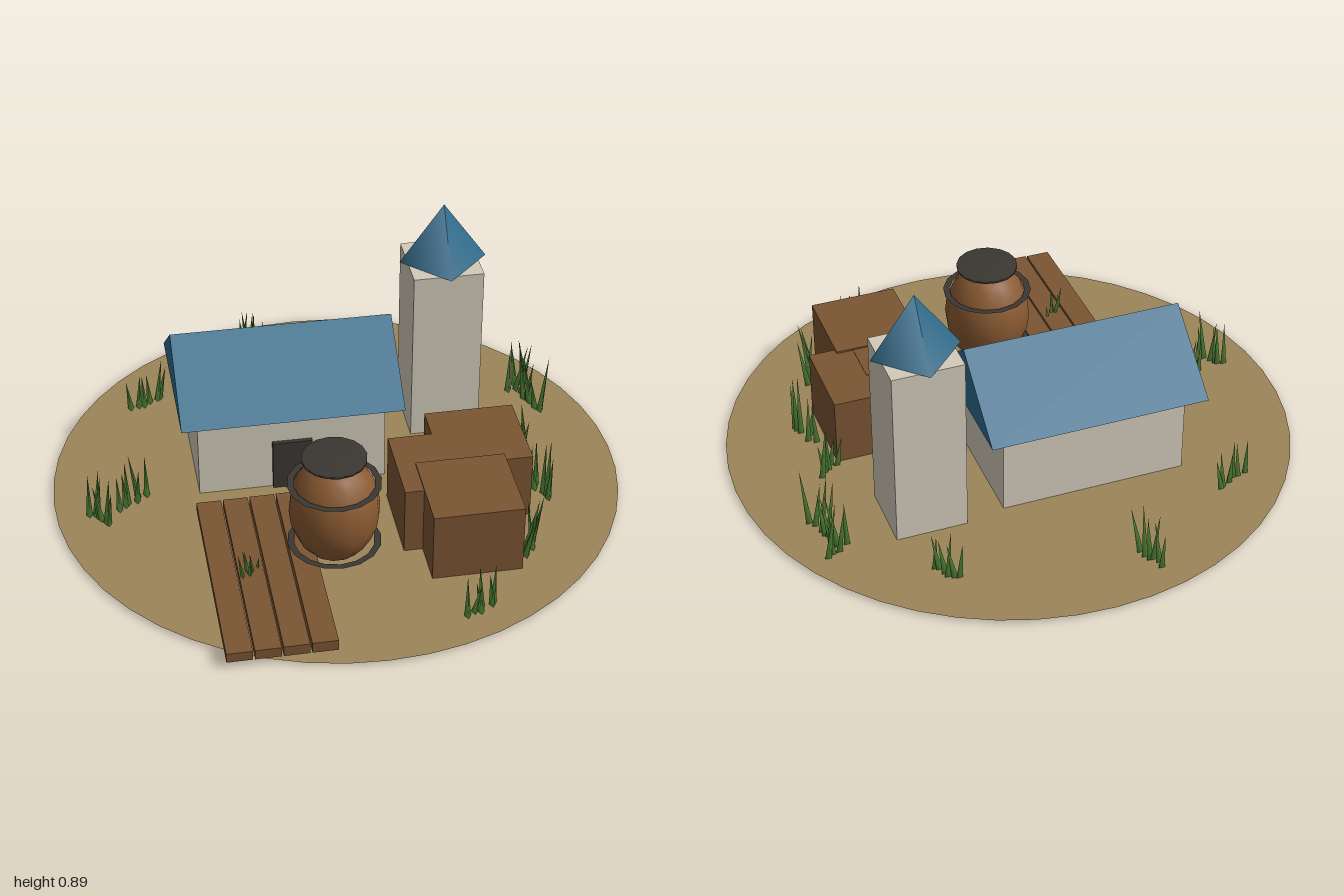
import * as THREE from 'three';

const mat = (name, color, extra = {}) => {
  const m = new THREE.MeshStandardMaterial({ color, ...extra });
  m.name = name;
  return m;
};

export function createModel() {
  const model = new THREE.Group();
  model.name = 'farmyard';

  const earth = mat('earth', 0x9b8558, { side: THREE.DoubleSide });
  const plaster = mat('plaster', 0xd2cbba);
  const slate = mat('blueRoof', 0x2f6c8c);
  const wood = mat('wood', 0x7a5533);
  const clay = mat('clay', 0x8a5a32);
  const iron = mat('darkIron', 0x3b3732, { side: THREE.DoubleSide });
  const green = mat('grassGreen', 0x4a7a32);

  const add = (name, geometry, material, x = 0, y = 0, z = 0, parent = model) => {
    const mesh = new THREE.Mesh(geometry, material);
    mesh.name = name;
    mesh.position.set(x, y, z);
    parent.add(mesh);
    return mesh;
  };
  // Box given by its minimum and maximum corners
  const box = (name, material, [x0, y0, z0], [x1, y1, z1], parent) =>
    add(name, new THREE.BoxGeometry(x1 - x0, y1 - y0, z1 - z0), material,
      (x0 + x1) / 2, (y0 + y1) / 2, (z0 + z1) / 2, parent);
  const group = (name) => {
    const g = new THREE.Group();
    g.name = name;
    model.add(g);
    return g;
  };

  // Flat round ground
  add('ground', new THREE.CircleGeometry(1, 48).rotateX(-Math.PI / 2), earth, 0, 0.008, 0);

  // House with gabled roof and door
  const house = group('house');
  box('houseWalls', plaster, [-0.49, 0, -0.41], [0.17, 0.32, 0.03], house);
  box('houseDoor', iron, [-0.23, 0.01, 0.02], [-0.09, 0.2, 0.045], house);
  const gable = new THREE.Shape([
    new THREE.Vector2(-0.28, 0), new THREE.Vector2(0.28, 0), new THREE.Vector2(0, 0.22),
  ]);
  const roof = new THREE.ExtrudeGeometry(gable, { depth: 0.78, bevelEnabled: false })
    .translate(0, 0, -0.39).rotateY(Math.PI / 2);
  add('houseRoof', roof, slate, -0.16, 0.32, -0.19, house);

  // Square tower with a turned pyramid roof
  const tower = group('tower');
  box('towerWalls', plaster, [0.31, 0, -0.44], [0.56, 0.67, -0.19], tower);
  add('towerRoof', new THREE.ConeGeometry(0.155, 0.22, 4), slate, 0.437, 0.78, -0.315, tower);

  // Stack of overlapping crates
  const crates = group('crates');
  box('crateBack', wood, [0.31, 0, 0.03], [0.625, 0.255, 0.34], crates);
  box('crateLeft', wood, [0.155, 0, 0.155], [0.47, 0.257, 0.465], crates);
  box('crateFront', wood, [0.22, 0, 0.315], [0.53, 0.262, 0.625], crates);

  // Planks of the jetty
  const jetty = group('jetty');
  for (let i = 0; i < 4; i++) {
    const x = -0.515 + i * 0.0925;
    box('plank', wood, [x, 0.025, 0.15], [x + 0.086, 0.06 + i * 0.0015, 0.94], jetty);
  }

  // Clay pot with two hoops and a lid
  const pot = group('pot');
  pot.position.set(-0.08, 0, 0.437);
  add('potBody', new THREE.SphereGeometry(0.155, 14, 10).scale(1, 1.29, 1), clay, 0, 0.21, 0, pot);
  for (const y of [0.07, 0.31]) {
    add('potHoop', new THREE.RingGeometry(0.137, 0.16, 16).rotateX(-Math.PI / 2), iron, 0, y, 0, pot);
  }
  const lid = [[0, -0.006], [0.11, -0.006], [0.11, 0.006], [0, 0.006]]
    .map(([r, y]) => new THREE.Vector2(r, y));
  add('potLid', new THREE.LatheGeometry(lid, 16), iron, 0, 0.411, 0, pot);

  // Grass tufts: x, z, height, spread in x, spread in z
  let seed = 7;
  const rand = () => (seed = (seed * 16807) % 2147483647) / 2147483647;
  const tufts = [
    [-0.2, -0.82, 0.21, 0.02, 0.045], [0.46, -0.65, 0.2, 0.03, 0.04],
    [-0.62, -0.54, 0.18, 0.06, -0.02], [0.77, -0.42, 0.22, 0.04, -0.025],
    [0.78, -0.31, 0.25, 0.02, 0.05], [-0.73, 0.04, 0.2, 0.05, -0.035],
    [-0.85, 0.12, 0.23, 0.025, 0.03], [0.67, 0.0, 0.21, 0.03, -0.025],
    [0.69, 0.22, 0.24, 0.02, 0.05], [0.575, 0.53, 0.23, 0.02, -0.03],
    [0.35, 0.81, 0.17, 0.05, -0.02], [-0.385, 0.55, 0.16, 0.02, -0.02],
  ];
  const grass = group('grass');
  const up = new THREE.Vector3(0, 1, 0);
  for (const [x, z, height, sx, sz] of tufts) {
    for (let i = 0; i < 6; i++) {
      const t = (i - 2.5) / 2.5;
      const h = height * (0.6 + 0.4 * rand());
      const blade = new THREE.ConeGeometry(0.013, h, 3).translate(0, h / 2, 0);
      const mesh = add('grassBlade', blade, green,
        x + sx * t + (rand() - 0.5) * 0.02, 0.008, z + sz * t + (rand() - 0.5) * 0.02, grass);
      const lean = new THREE.Vector3((rand() - 0.5) * 0.4, 1, (rand() - 0.5) * 0.25);
      mesh.quaternion.setFromUnitVectors(up, lean.normalize());
    }
  }

  return model;
}
